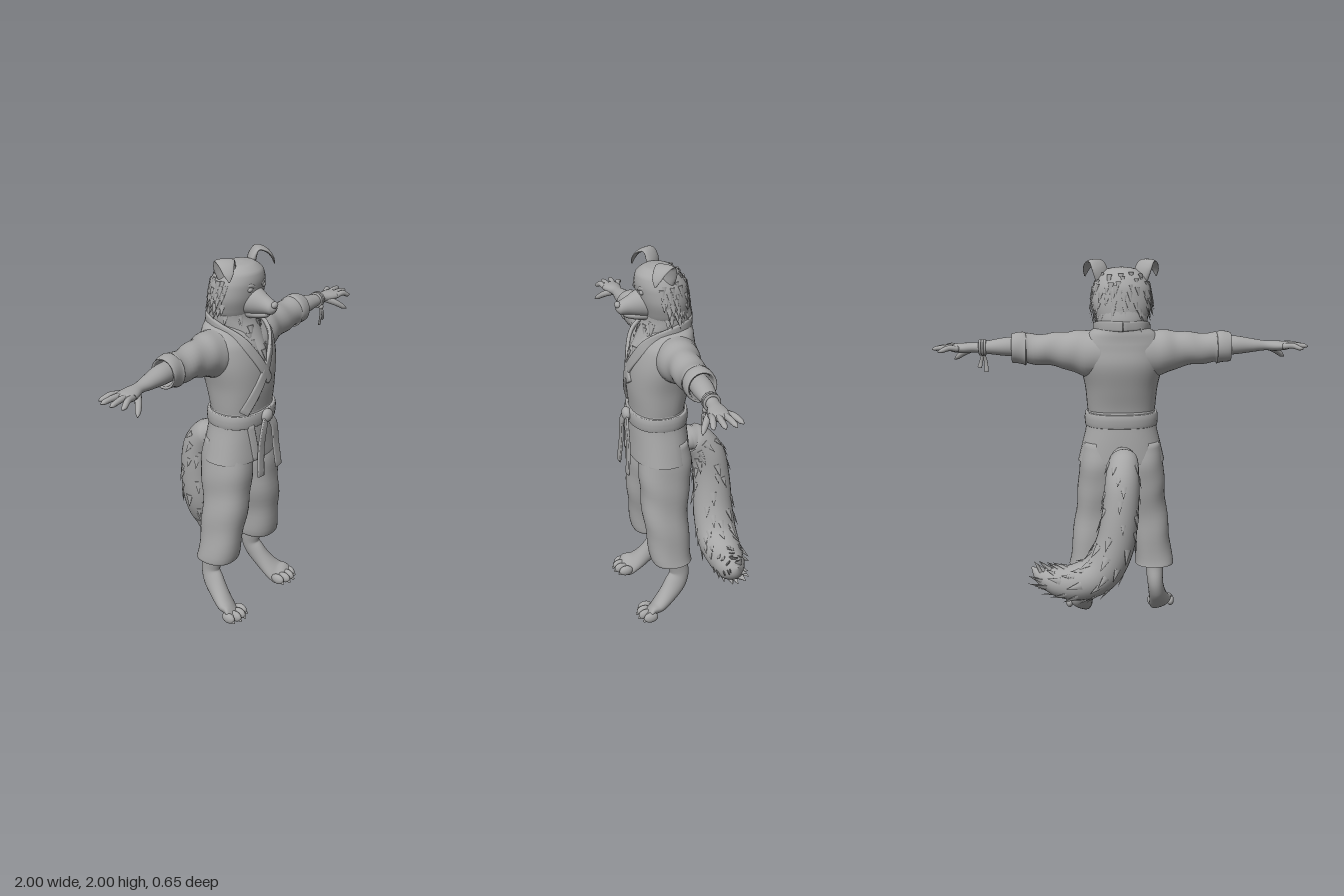
import * as THREE from 'three';
import { mergeGeometries } from 'three/addons/utils/BufferGeometryUtils.js';

const V = (x, y, z) => new THREE.Vector3(x, y, z);
const X = V(1, 0, 0), Y = V(0, 1, 0), Z = V(0, 0, 1);

// Smooth skin through rings [x, y, z, radius along up, radius across]
function sweep(rings, { up = Z, axis = null, n = 28, k = 5, p = 2, ripple = 0, waves = 9 } = {}) {
  const path = new THREE.CatmullRomCurve3(rings.map(r => V(r[0], r[1], r[2])));
  const size = new THREE.CatmullRomCurve3(rings.map(r => V(r[3], r[4], 0)));
  let fixed = null;
  if (axis) {
    const span = path.points[Math.min(2, rings.length - 1)].clone().sub(path.points[0]);
    fixed = axis.clone().multiplyScalar(Math.sign(span.dot(axis)) || 1);
  }
  const pw = v => Math.sign(v) * Math.abs(v) ** (2 / p);
  const sample = (t, th) => {
    const c = path.getPoint(t), s = size.getPoint(t);
    const T = fixed || path.getTangent(t);
    const U = (typeof up === 'function' ? up(c) : up).clone();
    U.addScaledVector(T, -U.dot(T)).normalize();
    const W = T.clone().cross(U).normalize();
    const f = 1 + ripple * Math.sin(waves * 6.28 * t + 2 * Math.sin(th + 1)) * Math.sin(3.14 * t);
    const off = U.clone().multiplyScalar(Math.max(s.x, 0.001) * f * pw(Math.cos(th)))
      .addScaledVector(W, Math.max(s.y, 0.001) * f * pw(Math.sin(th)));
    return { c, pos: c.clone().add(off), normal: off.clone().normalize(), tangent: T.clone() };
  };
  const m = (rings.length - 1) * k, pos = [], idx = [];
  for (let i = 0; i <= m; i++)
    for (let j = 0; j < n; j++) pos.push(...sample(i / m, j / n * Math.PI * 2).pos.toArray());
  for (let i = 0; i < m; i++)
    for (let j = 0; j < n; j++) {
      const a = i * n + j, b = i * n + (j + 1) % n;
      idx.push(a, b, b + n, a, b + n, a + n);
    }
  const end = (m + 1) * n;
  pos.push(...path.getPoint(0).toArray(), ...path.getPoint(1).toArray());
  for (let j = 0; j < n; j++) {
    const q = (j + 1) % n;
    idx.push(end, q, j, end + 1, m * n + j, m * n + q);
  }
  const geo = new THREE.BufferGeometry();
  geo.setAttribute('position', new THREE.Float32BufferAttribute(pos, 3));
  geo.setIndex(idx);
  geo.computeVertexNormals();
  geo.userData.sample = sample;
  return geo;
}

let seed = 7;
const rnd = () => (seed = (seed * 16807) % 2147483647) / 2147483647;

// Flattened fur points lying along a swept surface
function tufts(sample, count, t0, t1, len, flow = 1, a0 = 0, a1 = Math.PI * 2) {
  const list = [];
  for (let i = 0; i < count; i++) {
    const s = sample(t0 + (t1 - t0) * (i + rnd()) / count, a0 + (a1 - a0) * ((i * 0.618 + rnd() * 0.2) % 1));
    const dir = s.tangent.multiplyScalar(flow).addScaledVector(s.normal, 0.28).normalize();
    const side = dir.clone().cross(s.normal).normalize();
    const l = len * (0.75 + 0.5 * rnd());
    const g = new THREE.ConeGeometry(l * 0.3, l, 6).scale(1, 1, 0.35).translate(0, l * 0.3, 0);
    g.applyMatrix4(new THREE.Matrix4().makeBasis(side, dir, side.clone().cross(dir)).setPosition(s.pos));
    list.push(g);
  }
  return mergeGeometries(list);
}

export function createModel() {
  const root = new THREE.Group();
  const grey = new THREE.MeshStandardMaterial({ color: 0xa6a6a6 });
  grey.name = 'plain grey';
  const add = (name, geo) => {
    const mesh = new THREE.Mesh(geo, grey);
    mesh.name = name;
    root.add(mesh);
    return mesh;
  };
  const ball = (name, x, y, z, a, b, c) => add(name, new THREE.SphereGeometry(1, 20, 14).scale(a, b, c).translate(x, y, z));
  const ray = new THREE.Raycaster();
  const front = (mesh, x, y) => {
    ray.set(V(x, y, 2), V(0, 0, -1));
    const hit = ray.intersectObject(mesh)[0];
    return hit ? hit.point.z : 0.1;
  };
  const upright = { axis: Y, n: 40, p: 2.3 };

  // Jacket body, flared skirt and belt
  const torso = add('jacketBody', sweep([[0, 1.1, .11, .13, .17], [0, 1.2, .11, .14, .183], [0, 1.32, .1, .16, .195],
    [0, 1.45, .08, .17, .222], [0, 1.55, .07, .15, .22], [0, 1.61, .05, .125, .18], [0, 1.65, .03, .1, .12]], upright));
  const skirt = add('jacketSkirt', sweep([[0, 1.2, .11, .138, .18], [0, 1.1, .108, .146, .19], [0, 1, .105, .152, .213],
    [0, .91, .105, .155, .235], [0, .915, .105, .143, .222], [0, 1, .105, .135, .2]], upright));
  add('belt', sweep([[0, 1.125, .11, .14, .18], [0, 1.125, .11, .155, .197], [0, 1.15, .11, .157, .198],
    [0, 1.178, .11, .153, .193], [0, 1.18, .11, .138, .175]], upright));
  ball('beltKnot', 0, 1.15, .272, .04, .036, .026);
  for (const s of [1, -1])
    add('beltEnd', sweep([[s * .01, 1.15, .275, .008, .02], [s * .045, 1.09, .285, .008, .024],
      [s * .065, .98, .285, .007, .025], [s * .08, .835, .297, .006, .026]], { p: 4, n: 16 }));

  // Crossed lapels that run round the neck and lie on the chest
  const radial = c => V(c.x, 0, c.z - .07);
  const band = (name, mesh, pts, w) => add(name, sweep(
    pts.map(([x, y, z]) => [x, y, z ?? front(mesh, x, y) + .002, .011, w]), { up: radial, p: 4, n: 16 }));
  const collar = s => [[0, 1.655, -.078], [s * .1, 1.655, -.035], [s * .14, 1.635, .05], [s * .115, 1.575], [s * .065, 1.49]];
  band('rightLapel', torso, [...collar(-1), [-.01, 1.4], [.03, 1.34]], .025);
  band('leftLapel', torso, [...collar(1), [-.01, 1.39], [-.08, 1.29], [-.13, 1.19]], .027);
  band('skirtFrontEdge', skirt, [[-.1, 1.12], [-.085, 1.02], [-.07, .92]], .02);

  // Neck ruff and head
  const ruff = add('neckRuff', sweep([[0, 1.43, .235, .015, .015], [0, 1.5, .19, .06, .05], [0, 1.58, .11, .1, .1],
    [0, 1.66, .05, .127, .135], [0, 1.75, .06, .12, .14]], { axis: Y }));
  const head = add('head', sweep([[0, 1.64, .05, .1, .1], [0, 1.7, .055, .12, .142], [0, 1.78, .07, .13, .16],
    [0, 1.85, .082, .13, .15], [0, 1.905, .095, .11, .122], [0, 1.94, .1, .065, .07], [0, 1.948, .1, .01, .01]], { axis: Y, n: 36 }));
  const fur = (name, geo, ...args) => add(name, tufts(geo.geometry.userData.sample, ...args));
  fur('ruffFur', ruff, 46, .2, .8, .06, -1);
  fur('backOfHeadFur', head, 44, .1, .72, .05, -1, Math.PI * .62, Math.PI * 1.38);
  for (const s of [1, -1])
    fur('cheekFur', head, 16, .12, .55, .055, -1, s * Math.PI * .38, s * Math.PI * .62);
  add('muzzle', sweep([[0, 1.755, .12, .085, .095], [0, 1.757, .2, .068, .066], [0, 1.748, .255, .046, .044],
    [0, 1.74, .295, .033, .034], [0, 1.737, .312, .012, .014]], { up: Y, axis: Z }));
  add('lowerJaw', sweep([[0, 1.7, .13, .04, .06], [0, 1.695, .21, .025, .04], [0, 1.702, .265, .016, .025],
    [0, 1.706, .28, .004, .006]], { up: Y, axis: Z }));
  ball('nose', 0, 1.757, .305, .022, .017, .016);
  for (const s of [1, -1]) {
    const ez = front(head, .055, 1.83);
    ball('eye', s * .055, 1.828, ez - .004, .017, .013, .012);
    add('brow', sweep([[s * .025, 1.835, ez + .004, .008, .006], [s * .055, 1.85, ez - .004, .012, .01],
      [s * .09, 1.84, ez - .03, .005, .005]], { up: Y, n: 12 }));
    // Folded ear
    add('ear', sweep([[s * .095, 1.87, .09, .045, .025], [s * .115, 1.94, .085, .055, .02], [s * .135, 1.978, .1, .05, .011],
      [s * .165, 1.965, .135, .038, .009], [s * .183, 1.93, .16, .024, .007], [s * .19, 1.895, .17, .003, .003]],
      { up: V(s, 0, -1), n: 20 }));

    // Sleeve with a turned cuff
    const limb = { up: Y, axis: X };
    add('sleeve', sweep([[s * .1, 1.5, .05, .125, .12], [s * .2, 1.5, .055, .122, .115], [s * .29, 1.515, .06, .1, .092],
      [s * .4, 1.52, .065, .083, .08], [s * .5, 1.525, .067, .08, .075], [s * .51, 1.525, .067, .086, .08],
      [s * .58, 1.53, .07, .076, .072], [s * .575, 1.53, .07, .066, .062], [s * .5, 1.53, .07, .06, .055]],
      { ...limb, ripple: .05, waves: 6 }));
    // Forearm and hand
    add('forearm', sweep([[s * .48, 1.53, .072, .052, .052], [s * .6, 1.535, .077, .05, .053], [s * .7, 1.532, .083, .036, .042],
      [s * .77, 1.53, .087, .026, .032], [s * .83, 1.527, .093, .027, .048], [s * .88, 1.527, .097, .022, .055],
      [s * .91, 1.527, .095, .012, .045]], limb));
    for (const [z0, x1, y1, z1] of [[.055, .965, 1.518, .018], [.082, .998, 1.525, .062], [.11, .992, 1.522, .112], [.135, .965, 1.512, .158]])
      add('finger', sweep([[s * .86, 1.527, z0, .015, .014], [s * .91, 1.533, z0 * .6 + z1 * .4, .015, .015],
        [s * (x1 - .02), y1 + .004, z0 * .15 + z1 * .85, .012, .013], [s * x1, y1, z1, .003, .003]], { up: Y, n: 12 }));
    add('thumb', sweep([[s * .8, 1.52, .105, .02, .018], [s * .84, 1.495, .145, .017, .017], [s * .875, 1.468, .172, .013, .013],
      [s * .893, 1.455, .184, .003, .003]], { up: Y, n: 12 }));

    // Wide trouser leg with a turned hem
    add('trouserLeg', sweep([[s * .105, 1.02, .1, .12, .1], [s * .115, .87, .1, .142, .115], [s * .13, .7, .11, .128, .112],
      [s * .162, .5, .108, .116, .103], [s * .182, .32, .09, .108, .104], [s * .182, .325, .09, .096, .092],
      [s * .175, .42, .09, .08, .08]], { ...upright, ripple: .035, waves: 5 }));
    // Lower leg, raised heel and paw
    add('foot', sweep([[s * .178, .42, .075, .06, .05], [s * .182, .3, .06, .055, .048], [s * .186, .22, .045, .054, .043],
      [s * .195, .165, .07, .06, .045], [s * .21, .1, .125, .05, .052], [s * .226, .05, .185, .038, .064],
      [s * .236, .032, .235, .026, .07], [s * .238, .026, .265, .012, .05]], { n: 24 }));
    for (let i = 0; i < 4; i++) {
      const o = i - 1.5, outer = Math.abs(o) > 1 ? .018 : 0;
      ball('toe', s * (.235 + o * .037), .03, .262 - outer, .021, .03, .04);
      ball('toeClaw', s * (.235 + o * .039), .017, .298 - outer, .006, .009, .011);
    }
  }

  // Tied cord on the left wrist
  for (let i = 0; i < 3; i++)
    add('wristCord', new THREE.TorusGeometry(.037, .007, 8, 24).rotateY(Math.PI / 2).translate(.722 + i * .013, 1.531, .086));
  ball('cordKnot', .735, 1.495, .115, .015, .015, .013);
  for (const o of [-1, 1])
    add('cordEnd', sweep([[.735, 1.495, .115, .006, .008], [.735 + o * .012, 1.45, .122, .005, .01],
      [.738 + o * .018, 1.405 + o * .012, .118, .004, .012]], { n: 10 }));

  // Bushy tail hanging behind and curling to the left
  const tail = add('tail', sweep([[0, .92, -.02, .05, .05], [0, .945, -.1, .075, .078], [.01, .85, -.175, .092, .09],
    [.02, .7, -.2, .1, .095], [.055, .5, -.2, .11, .105], [.13, .365, -.2, .112, .108], [.25, .315, -.2, .1, .1],
    [.36, .32, -.19, .08, .08], [.44, .35, -.185, .045, .045], [.49, .395, -.18, .004, .004]], { up: V(.35, .1, -1) }));
  fur('tailFur', tail, 90, .15, .93, .07);
  return root;
}
